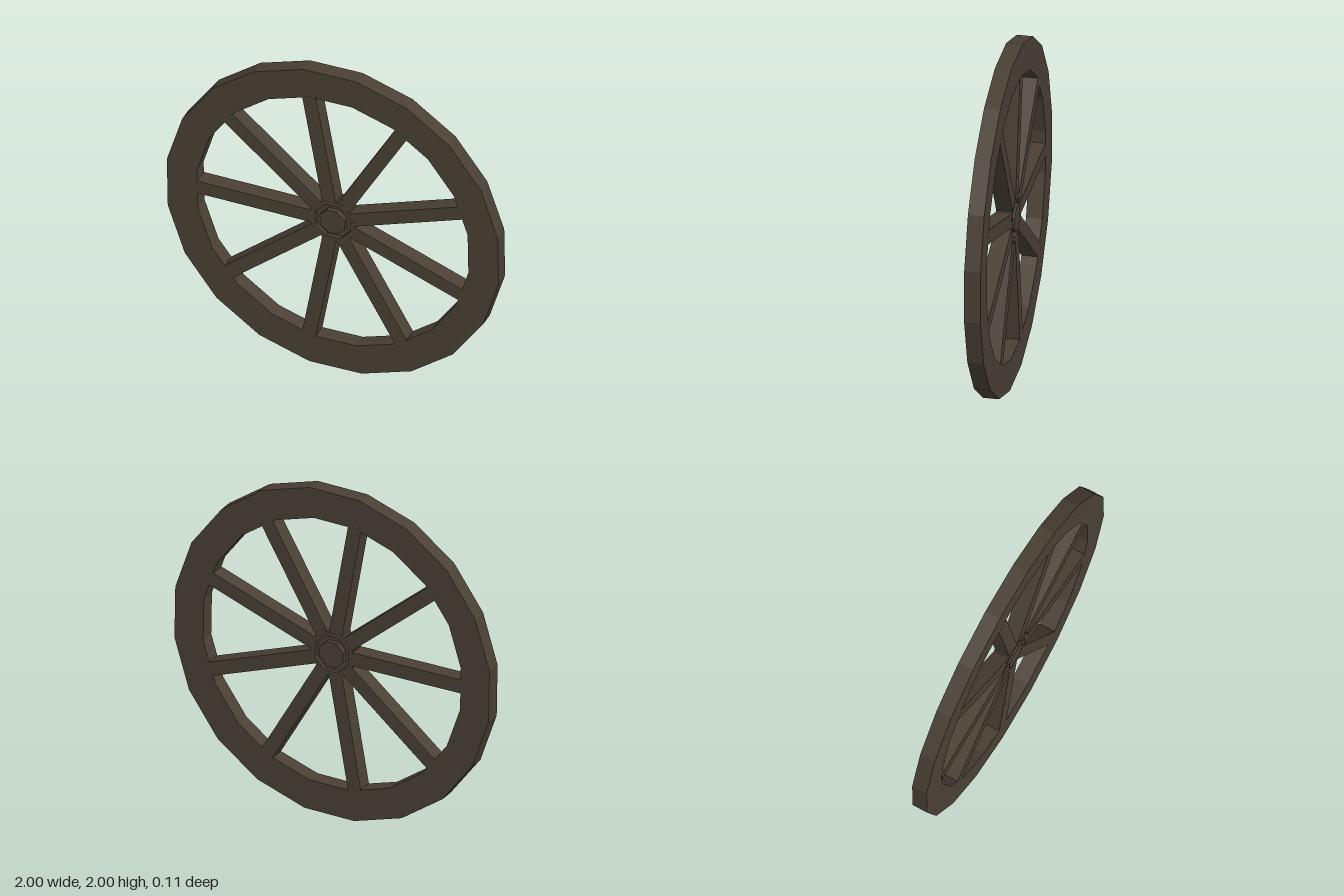
import * as THREE from 'three';

const wood = new THREE.MeshStandardMaterial({ color: 0x4a4035, flatShading: true });

// Corners of a regular polygon; the first corner sits at `phase` degrees
function corners(radius, sides, phase) {
  return Array.from({ length: sides }, (_, i) => {
    const a = THREE.MathUtils.degToRad(phase) + (i / sides) * Math.PI * 2;
    return new THREE.Vector2(Math.cos(a) * radius, Math.sin(a) * radius);
  });
}

// Faceted disc, or ring when inner > 0, centred on z = 0
function ring(name, outer, inner, halfDepth, sides, phase) {
  const shape = new THREE.Shape(corners(outer, sides, phase));
  if (inner > 0) shape.holes.push(new THREE.Path(corners(inner, sides, phase)));
  const geometry = new THREE.ExtrudeGeometry(shape, { depth: halfDepth * 2, bevelEnabled: false });
  geometry.translate(0, 0, -halfDepth);
  const mesh = new THREE.Mesh(geometry, wood);
  mesh.name = name;
  return mesh;
}

export function createModel() {
  const wheel = new THREE.Group();
  wheel.name = 'wheel';
  wheel.position.y = 1;

  // Twenty-sided rim
  wheel.add(ring('rim', 1.01, 0.826, 0.046, 20, 10));

  // Octagonal hub: collar, sunken groove and raised axle cap
  const hub = new THREE.Group();
  hub.name = 'hub';
  hub.add(
    ring('hubCollar', 0.142, 0.114, 0.0475, 8, 24.5),
    ring('hubGroove', 0.118, 0, 0.025, 8, 24.5),
    ring('axleCap', 0.081, 0, 0.053, 8, 24.5)
  );
  wheel.add(hub);

  // Nine square spokes
  const start = 0.125, end = 0.83;
  const spokeGeometry = new THREE.BoxGeometry(end - start, 0.083, 0.093);
  spokeGeometry.translate((start + end) / 2, 0, 0);
  for (let i = 0; i < 9; i++) {
    const spoke = new THREE.Mesh(spokeGeometry, wood);
    spoke.name = `spoke${i + 1}`;
    spoke.rotation.z = THREE.MathUtils.degToRad(20 + i * 40);
    wheel.add(spoke);
  }

  const model = new THREE.Group();
  model.name = 'spokedWheel';
  model.add(wheel);
  return model;
}
